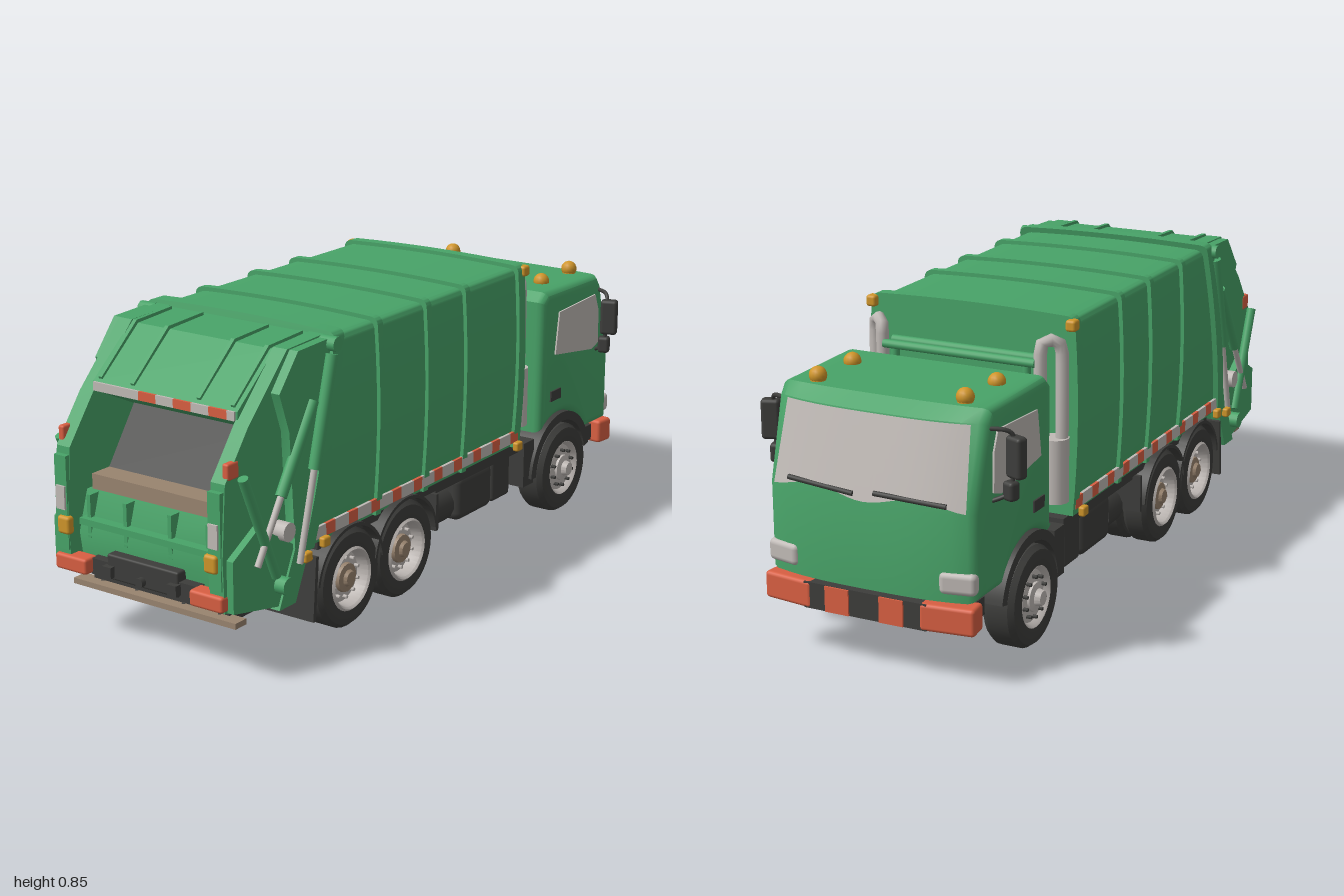
import * as THREE from 'three';
import { toCreasedNormals } from 'three/addons/utils/BufferGeometryUtils.js';
import { RoundedBoxGeometry } from 'three/addons/geometries/RoundedBoxGeometry.js';

export function createModel() {
  const truck = new THREE.Group();
  truck.name = 'refuseTruck';
  const paint = (name, color) => Object.assign(new THREE.MeshStandardMaterial({ color }), { name });
  const green = paint('green', 0x48a368), dark = paint('darkGrey', 0x3d3d3b), silver = paint('silver', 0xc0bab6);
  const red = paint('red', 0xd85f42), amber = paint('amber', 0xcf952a), brown = paint('brown', 0x99846f);

  const add = (name, geo, mat, parent = truck) => {
    const m = new THREE.Mesh(geo, mat);
    m.name = name;
    parent.add(m);
    return m;
  };
  const box = (name, mat, w, h, d, x, y, z, round = 0) => {
    const m = add(name, round ? new RoundedBoxGeometry(w, h, d, 2, round) : new THREE.BoxGeometry(w, h, d), mat);
    m.position.set(x, y, z);
    return m;
  };
  // round bar between two points
  const rod = (name, mat, a, b, r) => {
    const p = new THREE.Vector3(...a), q = new THREE.Vector3(...b), d = q.clone().sub(p);
    const m = add(name, new THREE.CylinderGeometry(r, r, d.length(), 14), mat);
    m.position.copy(p).addScaledVector(d, 0.5);
    m.quaternion.setFromUnitVectors(new THREE.Vector3(0, 1, 0), d.normalize());
    return m;
  };
  const tube = (name, mat, pts, r) => add(name, new THREE.TubeGeometry(
    new THREE.CatmullRomCurve3(pts.map(p => new THREE.Vector3(...p)), false, 'catmullrom', 0.3), 28, r, 10), mat);
  const poly = pts => new THREE.Shape(pts.map(p => new THREE.Vector2(...p)));
  const warp = (geo, rule) => {
    const p = geo.attributes.position, v = new THREE.Vector3();
    for (let i = 0; i < p.count; i++) {
      rule(v.fromBufferAttribute(p, i));
      p.setXYZ(i, v.x, v.y, v.z);
    }
    return geo;
  };
  // extrude a (z, y) outline across the width, centred on x
  const across = (name, mat, shape, width, x, bevel = 0, rule = null) => {
    const g = new THREE.ExtrudeGeometry(shape, {
      depth: width - 2 * bevel, curveSegments: 20, steps: rule ? 14 : 1, bevelEnabled: bevel > 0,
      bevelSize: bevel, bevelThickness: bevel, bevelOffset: -bevel, bevelSegments: 3 });
    g.rotateY(-Math.PI / 2).translate(x + width / 2 - bevel, 0, 0);
    if (rule) warp(g, rule);
    return add(name, toCreasedNormals(g, 0.55), mat);
  };
  const arch = (z, y, r0, r1, a0, a1) => {
    const s = new THREE.Shape();
    s.absarc(z, y, r1, a0, a1, false);
    s.absarc(z, y, r0, a1, a0, true);
    return s;
  };
  const sides = [1, -1];

  // Refuse body: bulging section, rear end sheared to meet the tailgate
  const section = g => {
    const s = new THREE.Shape();
    s.moveTo(-0.295 - g, 0.28);
    s.lineTo(0.295 + g, 0.28);
    s.quadraticCurveTo(0.32 + g, 0.55, 0.3 + g, 0.8 + g);
    s.quadraticCurveTo(0.3 + g, 0.825 + g, 0.275 + g, 0.827 + g);
    s.quadraticCurveTo(0, 0.84 + g, -0.275 - g, 0.827 + g);
    s.quadraticCurveTo(-0.3 - g, 0.825 + g, -0.3 - g, 0.8 + g);
    s.quadraticCurveTo(-0.32 - g, 0.55, -0.295 - g, 0.28);
    return s;
  };
  const slab = (name, g, z0, z1, shearFrom = Infinity) => {
    const geo = new THREE.ExtrudeGeometry(section(g), { depth: z1 - z0, bevelEnabled: false, curveSegments: 8 });
    geo.translate(0, 0, z0);
    warp(geo, v => { if (v.z > shearFrom) v.z += (0.83 - v.y) * 0.24; });
    add(name, toCreasedNormals(geo, 0.55), green);
  };
  slab('refuseBody', 0, -0.395, 0.53, 0.5);
  for (const z of [-0.095, 0.105, 0.34]) slab('bodyRib', 0.011, z - 0.012, z + 0.012);
  slab('bodyFrontRim', 0.011, -0.405, -0.37);
  slab('bodyRearRim', 0.016, 0.51, 0.555, 0.5);
  box('underFloor', dark, 0.56, 0.012, 1.0, 0, 0.276, 0.11);

  // Warning stripes and lower rails along the body
  for (const s of sides) {
    for (let i = 0; i < 10; i++) {
      const z = -0.37 + i * 0.104;
      box('stripeRed', red, 0.009, 0.034, 0.042, s * 0.305, 0.313, z);
      box('stripeSilver', silver, 0.009, 0.034, 0.062, s * 0.305, 0.313, z + 0.052);
    }
    box('bodyRail', dark, 0.05, 0.035, 1.0, s * 0.265, 0.272, 0.1);
    box('cornerBeacon', amber, 0.03, 0.032, 0.034, s * 0.304, 0.816, -0.408, 0.008);
    for (const [z, y] of [[-0.37, 0.288], [0.61, 0.29], [0.69, 0.272]])
      box('sideMarker', amber, 0.02, 0.028, 0.032, s * 0.322, y, z, 0.006);
  }

  // Tailgate side walls, posts and rams
  for (const s of sides) {
    across('tailgateWall', green, poly([[0.53, 0.835], [0.71, 0.828], [0.874, 0.665], [0.97, 0.54], [0.985, 0.34],
      [0.98, 0.2], [0.74, 0.15], [0.66, 0.28], [0.64, 0.5]]), 0.045, s * 0.2575);
    across('tailgateCheek', green, poly([[0.54, 0.83], [0.7, 0.825], [0.78, 0.73], [0.74, 0.62], [0.72, 0.3],
      [0.79, 0.15], [0.72, 0.15], [0.65, 0.3]]), 0.03, s * 0.292);
    across('lowerBracket', green, poly([[0.67, 0.28], [0.86, 0.4], [0.97, 0.34], [0.97, 0.2], [0.74, 0.15]]), 0.025, s * 0.288);
    box('rearPost', green, 0.04, 0.26, 0.03, s * 0.256, 0.39, 0.972);
    rod('liftRam', green, [s * 0.318, 0.79, 0.57], [s * 0.318, 0.5, 0.65], 0.017);
    rod('liftRod', silver, [s * 0.318, 0.5, 0.65], [s * 0.318, 0.26, 0.715], 0.009);
    rod('packerRam', green, [s * 0.308, 0.68, 0.64], [s * 0.308, 0.46, 0.78], 0.016);
    rod('packerRod', silver, [s * 0.308, 0.46, 0.78], [s * 0.308, 0.3, 0.88], 0.009);
    rod('linkArm', green, [s * 0.305, 0.55, 0.93], [s * 0.305, 0.25, 0.8], 0.014);
    rod('pivot', silver, [s * 0.27, 0.36, 0.76], [s * 0.32, 0.36, 0.76], 0.026);
    rod('hinge', green, [s * 0.28, 0.22, 0.78], [s * 0.332, 0.22, 0.78], 0.024);
    rod('hinge', green, [s * 0.28, 0.815, 0.56], [s * 0.33, 0.815, 0.56], 0.02);
    box('upperTailLight', red, 0.02, 0.045, 0.045, s * 0.273, 0.568, 0.938, 0.006);
    box('reflector', silver, 0.03, 0.065, 0.008, s * 0.255, 0.405, 0.989);
    box('turnLight', amber, 0.042, 0.05, 0.025, s * 0.246, 0.33, 0.985, 0.009);
    box('tailLight', red, 0.108, 0.044, 0.05, s * 0.228, 0.225, 0.969, 0.008);
  }

  // Tailgate roof, hopper and striped lip
  across('tailgateRoof', green, poly([[0.53, 0.832], [0.71, 0.822], [0.865, 0.695], [0.865, 0.67], [0.72, 0.6], [0.53, 0.6]]), 0.48, 0);
  for (const x of [-0.22, -0.11, 0.11, 0.22])
    across('roofRib', green, poly([[0.57, 0.838], [0.715, 0.831], [0.86, 0.708], [0.85, 0.69], [0.7, 0.8], [0.57, 0.82]]), 0.012, x);
  box('lipStripeEnd', silver, 0.04, 0.024, 0.008, -0.215, 0.683, 0.868);
  for (let i = 0; i < 7; i++)
    box('lipStripe', i > 0 && i % 2 === 0 ? red : silver, 0.058, 0.024, 0.008, -0.167 + i * 0.058, 0.683, 0.868);
  box('lipStripeEnd', silver, 0.024, 0.024, 0.008, 0.222, 0.683, 0.868);
  across('hopperBin', green, poly([[0.66, 0.3], [0.66, 0.41], [0.91, 0.41], [0.945, 0.3], [0.93, 0.2], [0.75, 0.165]]), 0.48, 0);
  across('packerPlate', dark, poly([[0.7, 0.6], [0.73, 0.605], [0.84, 0.45], [0.82, 0.43], [0.7, 0.43]]), 0.44, 0);
  box('hopperFloor', brown, 0.44, 0.042, 0.1, 0, 0.433, 0.855);
  box('hopperRail', green, 0.44, 0.018, 0.03, 0, 0.338, 0.945);
  for (const x of [-0.2, -0.075, 0.075, 0.2]) box('hopperRib', green, 0.012, 0.12, 0.035, x, 0.35, 0.927);
  box('rearBumperBox', dark, 0.24, 0.07, 0.06, 0, 0.236, 0.94, 0.006);
  box('rearBumperBeam', dark, 0.36, 0.045, 0.06, 0, 0.222, 0.935);
  for (const x of [-0.11, 0.11]) box('towBlock', dark, 0.03, 0.03, 0.02, x, 0.225, 0.975);
  rod('towEye', dark, [0, 0.22, 0.96], [0, 0.22, 0.985], 0.013);
  box('rearStep', brown, 0.55, 0.016, 0.045, 0, 0.148, 0.91);
  for (const x of [-0.2, -0.08, 0.08, 0.2]) rod('stepBracket', dark, [x, 0.145, 0.91], [x, 0.2, 0.74], 0.01);
  box('rearFrame', dark, 0.46, 0.06, 0.2, 0, 0.165, 0.8);

  // Cab shell with wheel arch, its nose curved back towards the corners
  const bend = x => 0.035 * Math.pow(Math.abs(x) / 0.305, 3);
  const cabShape = poly([[-0.845, 0.225], [-0.986, 0.225], [-0.986, 0.46], [-0.925, 0.68], [-0.88, 0.712],
    [-0.56, 0.716], [-0.53, 0.69], [-0.53, 0.28], [-0.548, 0.28]]);
  cabShape.absarc(-0.655, 0.14, 0.176, 0.92, Math.PI - 0.5, false);
  across('cabShell', green, cabShape, 0.61, 0, 0.024,
    v => { v.z += bend(v.x) * THREE.MathUtils.clamp((-v.z - 0.85) / 0.07, 0, 1); });
  const glass = warp(new THREE.PlaneGeometry(0.56, 1, 24, 6).rotateY(Math.PI), v => {
    const t = v.y + 0.5, bottom = 0.474 - 0.012 * Math.cos(v.x * 21);
    v.x *= 1 - 0.05 * t;
    v.y = bottom + t * (0.678 - bottom);
    v.z = -0.991 + (v.y - 0.46) * 0.277 + bend(v.x);
  });
  glass.computeVertexNormals();
  add('windshield', glass, silver);
  for (const x of [-0.13, 0.13])
    rod('wiper', dark, [x - 0.1, 0.478, -0.986 + bend(x - 0.1)], [x + 0.1, 0.488, -0.986 + bend(x + 0.1)], 0.007);
  box('cabInnerBlock', dark, 0.36, 0.13, 0.42, 0, 0.26, -0.7);
  for (const s of sides) {
    across('sideWindow', silver, poly([[-0.625, 0.645], [-0.845, 0.655], [-0.868, 0.6], [-0.87, 0.495], [-0.83, 0.482], [-0.605, 0.515]]), 0.008, s * 0.306);
    box('doorHandle', dark, 0.008, 0.032, 0.06, s * 0.306, 0.385, -0.615);
    box('headlight', silver, 0.1, 0.06, 0.06, s * 0.252, 0.276, -0.945, 0.015).rotation.y = -0.2 * s;
    across('frontFender', dark, arch(-0.655, 0.14, 0.15, 0.178, 0.05, Math.PI - 0.2), 0.13, s * 0.245);
    box('fenderStep', dark, 0.13, 0.14, 0.06, s * 0.235, 0.2, -0.475);
    box('bumperEnd', red, 0.15, 0.074, 0.065, s * 0.231, 0.182, -0.957, 0.01).rotation.y = -0.12 * s;
    box('bumperPatch', red, 0.07, 0.07, 0.008, s * 0.08, 0.182, -0.996);
    for (const [z, y] of [[-0.84, 0.726], [-0.67, 0.72]]) {
      rod('beaconBase', amber, [s * 0.215, 0.7, z], [s * 0.215, y, z], 0.021);
      add('beacon', new THREE.SphereGeometry(0.024, 14, 10), amber).position.set(s * 0.215, y, z);
    }
    // Mirrors
    box('mainMirror', dark, 0.052, 0.11, 0.034, s * 0.36, 0.59, -0.845, 0.01).rotation.y = 0.35 * s;
    box('lowerMirror', dark, 0.036, 0.052, 0.034, s * 0.345, 0.5, -0.845, 0.01).rotation.y = 0.35 * s;
    tube('mirrorArm', dark, [[s * 0.29, 0.665, -0.88], [s * 0.335, 0.662, -0.86], [s * 0.352, 0.64, -0.845], [s * 0.345, 0.5, -0.845], [s * 0.295, 0.47, -0.87]], 0.006);
    // Exhaust stacks
    rod('muffler', silver, [s * 0.27, 0.33, -0.437], [s * 0.27, 0.51, -0.437], 0.037);
    tube('exhaustPipe', silver, [[s * 0.285, 0.5, -0.43], [s * 0.285, 0.74, -0.43], [s * 0.275, 0.778, -0.44], [s * 0.25, 0.778, -0.46], [s * 0.24, 0.74, -0.47], [s * 0.24, 0.34, -0.47]], 0.018);
    rod('stackFrame', green, [s * 0.2, 0.3, -0.47], [s * 0.2, 0.72, -0.47], 0.012);
  }
  for (const z of [-0.48, -0.43]) rod('stackCrossbar', green, [-0.23, 0.72, z], [0.23, 0.72, z], 0.012);
  box('frontBumper', dark, 0.36, 0.072, 0.05, 0, 0.182, -0.97);
  box('bumperStep', dark, 0.54, 0.05, 0.1, 0, 0.18, -0.9);
  for (let i = 0; i < 6; i++)
    box('underrunBar', i % 2 ? silver : red, i % 2 ? 0.05 : 0.09, 0.045, 0.04, -0.175 + i * 0.07, 0.138, -0.59);

  // Chassis, tanks and axles
  for (const s of sides) {
    box('chassisRail', dark, 0.035, 0.08, 1.7, s * 0.095, 0.235, -0.03);
    box('sideTank', dark, 0.12, 0.14, 0.19, s * 0.225, 0.185, -0.2, 0.025);
    box('equipmentBox', dark, 0.12, 0.14, 0.1, s * 0.22, 0.19, -0.35, 0.012);
    rod('airTank', dark, [s * 0.22, 0.17, -0.095], [s * 0.22, 0.17, 0], 0.055);
    box('tankShelf', dark, 0.14, 0.03, 0.46, s * 0.22, 0.262, -0.2);
    for (const z of [0.214, 0.48]) across('rearFender', dark, arch(z, 0.14, 0.147, 0.156, 0.15, Math.PI - 0.15), 0.165, s * 0.235);
    box('mudFlap', dark, 0.17, 0.18, 0.012, s * 0.235, 0.165, 0.648).rotation.x = -0.08;
    box('frontFlap', dark, 0.15, 0.11, 0.012, s * 0.235, 0.2, 0.05);
  }
  for (const z of [-0.4, -0.1, 0.08, 0.35, 0.62]) box('crossMember', dark, 0.19, 0.05, 0.04, 0, 0.235, z);
  box('engine', dark, 0.16, 0.12, 0.35, 0, 0.2, -0.62, 0.02);
  rod('driveShaft', dark, [0, 0.18, -0.45], [0, 0.14, 0.48], 0.022);
  for (const z of [-0.655, 0.214, 0.48]) {
    rod('axle', dark, [-0.25, 0.14, z], [0.25, 0.14, z], 0.026);
    if (z > 0) add('differential', new THREE.SphereGeometry(0.06, 16, 12), dark).position.set(0, 0.14, z);
  }

  // Wheels: lathed about the axle, outer face along +x before mirroring
  const lathe = (pts, n = 32) => toCreasedNormals(new THREE.LatheGeometry(pts.map(p => new THREE.Vector2(...p)), n), 0.6).rotateZ(-Math.PI / 2);
  const tyre = w => lathe([[0.03, -w], [0.1, -w], [0.128, -w * 0.9], [0.139, -w * 0.6], [0.139, w * 0.6], [0.128, w * 0.9], [0.1, w], [0.083, w * 0.9]]);
  const wheel = (s, z, rear) => {
    const g = new THREE.Group();
    g.name = rear ? 'rearWheel' : 'frontWheel';
    g.position.set(s * 0.275, 0.14, z);
    g.rotation.y = s > 0 ? 0 : Math.PI;
    add('tyre', tyre(rear ? 0.042 : 0.05), dark, g);
    if (rear) add('innerTyre', tyre(0.042), dark, g).position.x = -0.084;
    const d = rear ? 0.008 : 0.03, h = rear ? 0.6 : 1;
    add('rim', lathe([[0.09, 0.04], [0.084, 0.046], [0.078, 0.04], [0.072, d], [0.044, d + 0.008], [0.04, d + 0.008], [0, d + 0.008]]), silver, g);
    add('hub', lathe([[0.044, 0], [0.04, 0.045 * h], [0.024, 0.05 * h], [0.02, 0.066 * h], [0, 0.068 * h]], 16), rear ? brown : silver, g);
    for (let i = 0; i < 10; i++) {
      const a = i * Math.PI / 5, nut = add('wheelNut', new THREE.CylinderGeometry(0.005, 0.005, 0.016, 6), rear ? silver : dark, g);
      nut.rotation.z = Math.PI / 2;
      nut.position.set(d + 0.01, Math.cos(a) * 0.056, Math.sin(a) * 0.056);
    }
    truck.add(g);
  };
  for (const s of sides) for (const z of [-0.655, 0.214, 0.48]) wheel(s, z, z > 0);

  return truck;
}
